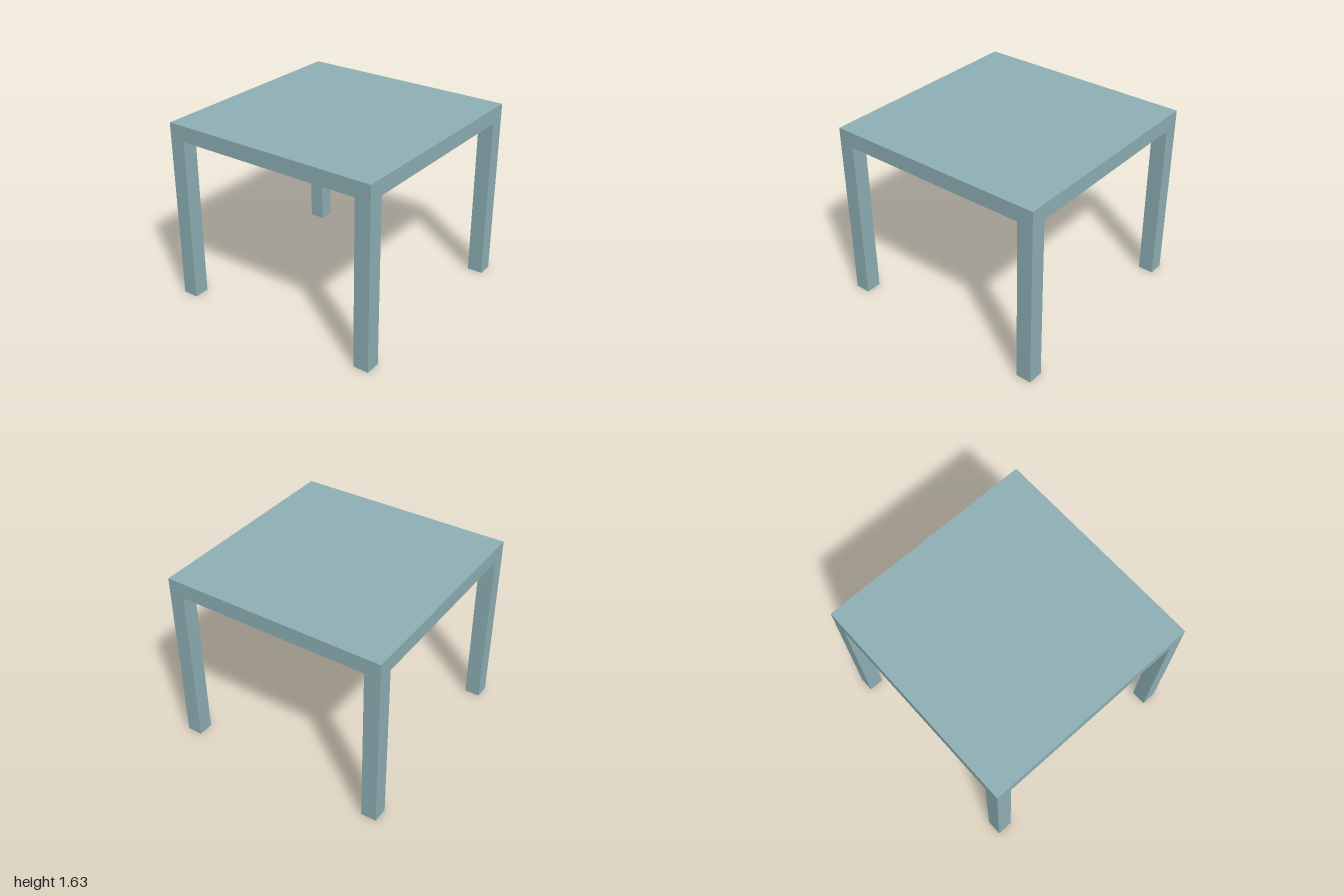
import * as THREE from 'three';

export function createModel() {
  const size = 2, height = 1.635, thick = 0.14;
  const legHeight = height - thick;
  const material = new THREE.MeshStandardMaterial({ color: 0x8fb1b6 });
  const table = new THREE.Group();
  table.name = 'table';

  const addBox = (name, w, h, d, x, y, z) => {
    const mesh = new THREE.Mesh(new THREE.BoxGeometry(w, h, d), material);
    mesh.name = name;
    mesh.position.set(x, y, z);
    table.add(mesh);
  };

  // Solid square top
  addBox('tableTop', size, thick, size, 0, height - thick / 2, 0);

  // Four square legs, flush with the corners of the top
  const offset = (size - thick) / 2;
  for (const [zName, sz] of [['front', 1], ['back', -1]]) {
    for (const [xName, sx] of [['Left', 1], ['Right', -1]]) {
      addBox(`${zName}${xName}Leg`, thick, legHeight, thick, sx * offset, legHeight / 2, sz * offset);
    }
  }
  return table;
}
